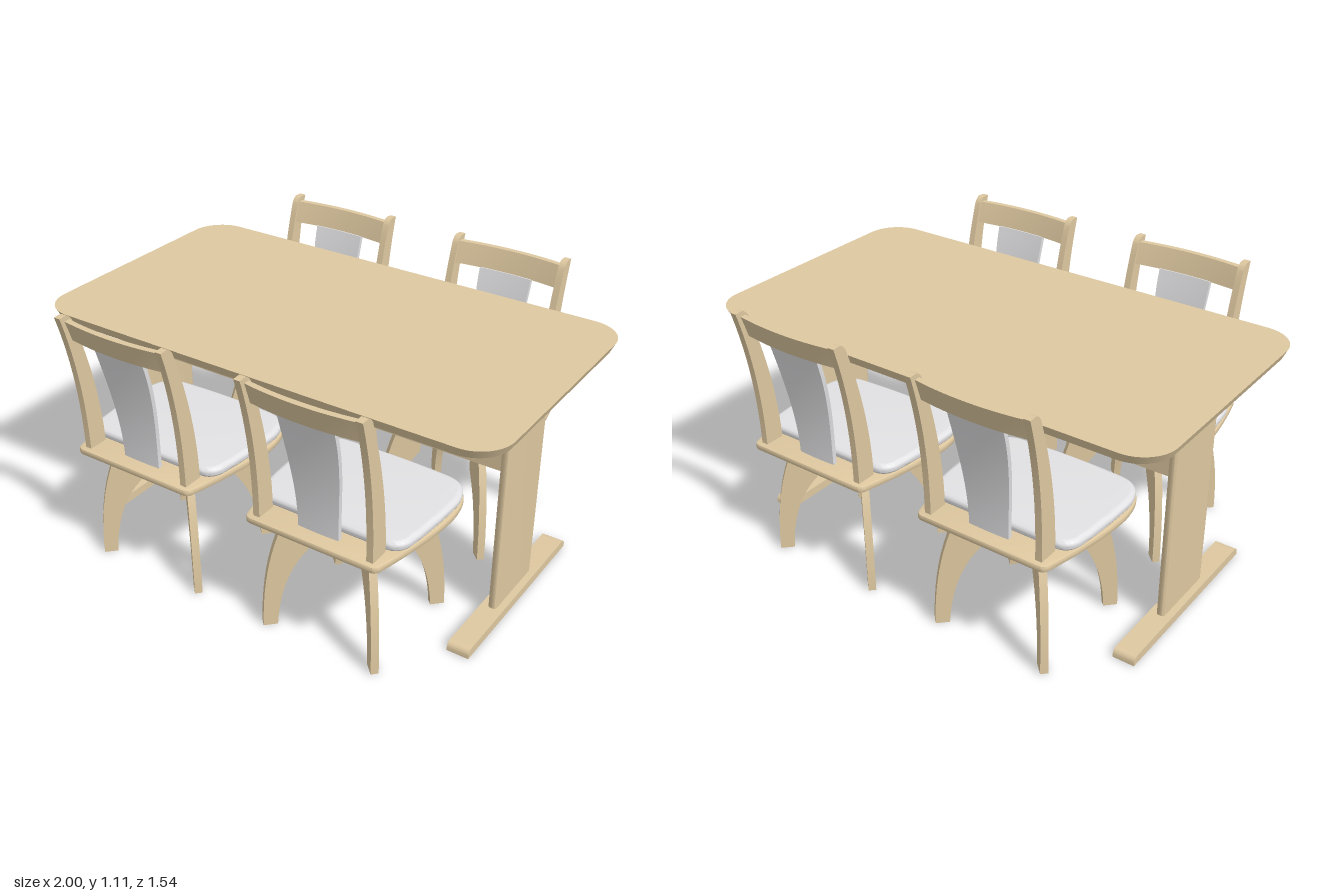
import * as THREE from 'three';
import { toCreasedNormals } from 'three/addons/utils/BufferGeometryUtils.js';

const wood = new THREE.MeshStandardMaterial({ color: 0xdec8a0 });
wood.name = 'light wood';
const fabric = new THREE.MeshStandardMaterial({ color: 0xe2e2e4 });
fabric.name = 'pale grey upholstery';

function add(parent, name, geometry, material = wood) {
  const mesh = new THREE.Mesh(geometry, material);
  mesh.name = name;
  parent.add(mesh);
  return mesh;
}

function box(parent, name, size, pos) {
  return add(parent, name, new THREE.BoxGeometry(...size).translate(...pos));
}

// Rectangle with rounded corners, centred on (cx, cy)
function roundedRect(w, h, r, cx = 0, cy = 0) {
  const s = new THREE.Shape();
  const x = w / 2 - r, y = h / 2 - r;
  s.absarc(cx + x, cy + y, r, 0, Math.PI / 2);
  s.absarc(cx - x, cy + y, r, Math.PI / 2, Math.PI);
  s.absarc(cx - x, cy - y, r, Math.PI, Math.PI * 1.5);
  s.absarc(cx + x, cy - y, r, Math.PI * 1.5, Math.PI * 2);
  s.closePath();
  return s;
}

// Horizontal slab from an (x, z) outline, between two heights
function slab(shape, y0, y1, bevel = 0, bevelSegments = 3) {
  const g = new THREE.ExtrudeGeometry(shape, {
    depth: y1 - y0 - 2 * bevel, curveSegments: 10,
    bevelEnabled: bevel > 0, bevelThickness: bevel, bevelSize: bevel,
    bevelOffset: -bevel, bevelSegments,
  });
  g.rotateX(Math.PI / 2).translate(0, y1 - bevel, 0);
  return toCreasedNormals(g, 0.7);
}

// Upright plate of given thickness, centred on its own plane
function plate(shape, t) {
  const g = new THREE.ExtrudeGeometry(shape, { depth: t, bevelEnabled: false, curveSegments: 10 });
  return toCreasedNormals(g.translate(0, 0, -t / 2), 0.6);
}

// Seat outline: wide rounded front, sides tapering to the back
function seatShape(half, backHalf, front, back, r) {
  const s = new THREE.Shape();
  const mid = front + (back - front) * 0.4;
  s.moveTo(-half + 0.11, front + 0.008);
  s.quadraticCurveTo(0, front - 0.008, half - 0.11, front + 0.008);
  s.quadraticCurveTo(half - 0.01, front + 0.015, half, mid - 0.06);
  s.quadraticCurveTo(half, mid + 0.1, backHalf + r * 0.25, back - r);
  s.quadraticCurveTo(backHalf, back, backHalf - r, back);
  s.lineTo(-backHalf + r, back);
  s.quadraticCurveTo(-backHalf, back, -backHalf - r * 0.25, back - r);
  s.quadraticCurveTo(-half, mid + 0.1, -half, mid - 0.06);
  s.quadraticCurveTo(-half + 0.01, front + 0.015, -half + 0.11, front + 0.008);
  return s;
}

// Backward sweep of the chair back with height
const sweep = (y) => Math.max(0, (y - 0.517) / 0.593);
const innerZ = (y) => 0.607 + 0.11 * sweep(y) ** 1.9;
const outerZ = (y) => 0.688 + 0.08 * sweep(y) ** 2.2;

// Panel that follows the sweep of the back and bows across its width
function backPanel(y0, y1, halfWidth, offset, thickness) {
  const g = new THREE.BoxGeometry(2, 1, 1, 12, 14, 1);
  const p = g.attributes.position;
  for (let i = 0; i < p.count; i++) {
    const y = y0 + (p.getY(i) + 0.5) * (y1 - y0);
    const x = p.getX(i) * halfWidth(y);
    const bow = 0.02 * (1 - (x / 0.23) ** 2);
    p.setXYZ(i, x, y, innerZ(y) + offset + bow + p.getZ(i) * thickness);
  }
  g.computeVertexNormals();
  return g;
}

function buildTable() {
  const table = new THREE.Group();
  table.name = 'table';
  const cz = -0.018;

  // Top with edges sloping inward underneath
  let top = slab(roundedRect(2, 1.1, 0.14), 0.93, 0.968);
  const p = top.attributes.position;
  for (let i = 0; i < p.count; i++) {
    if (p.getY(i) < 0.95) p.setXYZ(i, p.getX(i) * 0.984, p.getY(i), p.getZ(i) * 0.972);
  }
  top.translate(0, 0, cz - 0.004);
  top.computeVertexNormals();
  add(table, 'tableTop', toCreasedNormals(top, 0.7));

  // Foot side profile with rounded upper ends
  const foot = new THREE.Shape();
  foot.moveTo(-0.415, 0);
  foot.lineTo(0.415, 0);
  foot.lineTo(0.415, 0.012);
  foot.quadraticCurveTo(0.412, 0.036, 0.385, 0.036);
  foot.lineTo(-0.385, 0.036);
  foot.quadraticCurveTo(-0.412, 0.036, -0.415, 0.012);

  for (const side of [-1, 1]) {
    const x = side * 0.853;
    add(table, 'foot', plate(foot, 0.09).rotateY(-Math.PI / 2).translate(x, 0, cz));
    add(table, 'pedestalPanel', slab(roundedRect(0.034, 0.3, 0.012, x, cz), 0.036, 0.905));
    box(table, 'topBearer', [0.082, 0.027, 0.83], [x, 0.9175, cz]);
  }
  box(table, 'stretcher', [1.68, 0.16, 0.03], [0, 0.64, cz]);
  return table;
}

// Chair with its back toward +z
function buildChair() {
  const chair = new THREE.Group();
  chair.name = 'chair';
  const cz = 0.405;

  add(chair, 'seatBoard', slab(seatShape(0.34, 0.275, 0.1, 0.71, 0.025), 0.493, 0.519, 0.006, 2));
  add(chair, 'seatCushion', slab(seatShape(0.333, 0.3, 0.11, 0.606, 0.06), 0.517, 0.56, 0.021, 5), fabric);
  box(chair, 'swivelPlate', [0.47, 0.025, 0.41], [0, 0.481, cz]);

  // Crossed bars under the seat
  for (const a of [1, -1]) {
    const bar = box(chair, 'crossBar', [0.41, 0.083, 0.029], [0, 0, 0]);
    bar.position.set(0, 0.4285, cz);
    bar.rotation.y = a * Math.PI / 4;
  }

  // Curved legs splayed on the diagonals
  const leg = new THREE.Shape();
  leg.moveTo(0.298, 0);
  leg.lineTo(0.353, 0);
  leg.quadraticCurveTo(0.352, 0.27, 0.275, 0.452);
  leg.lineTo(0.205, 0.452);
  leg.lineTo(0.205, 0.39);
  leg.lineTo(0.178, 0.388);
  leg.lineTo(0.178, 0.335);
  leg.quadraticCurveTo(0.285, 0.225, 0.298, 0);
  const legGeometry = plate(leg, 0.03);
  for (let i = 0; i < 4; i++) {
    const mesh = add(chair, 'leg', legGeometry);
    mesh.position.z = cz;
    mesh.rotation.y = Math.PI / 4 + i * Math.PI / 2;
  }

  // Swept back posts
  const post = new THREE.Shape();
  const n = 12;
  post.moveTo(innerZ(0.515), 0.515);
  for (let i = 0; i <= n; i++) {
    const y = 0.517 + (0.573 * i) / n;
    post.lineTo(outerZ(y), y);
  }
  post.lineTo(0.768, 1.108);
  post.lineTo(0.738, 1.11);
  post.quadraticCurveTo(0.722, 1.108, innerZ(1.085), 1.085);
  for (let i = n - 1; i > 0; i--) {
    const y = 0.517 + (0.568 * i) / n;
    post.lineTo(innerZ(y), y);
  }
  const postGeometry = plate(post, 0.027).rotateY(-Math.PI / 2);
  for (const side of [-1, 1]) add(chair, 'backPost', postGeometry).position.x = side * 0.238;

  // Top rail and upholstered splat
  add(chair, 'topRail', backPanel(1.003, 1.09, () => 0.227, 0.022, 0.024));
  const splatWidth = (y) => 0.085 + 0.03 * THREE.MathUtils.smoothstep(y, 0.52, 1.0);
  add(chair, 'backSplat', backPanel(0.517, 1.005, splatWidth, 0.014, 0.018), fabric);
  return chair;
}

export function createModel() {
  const model = new THREE.Group();
  model.name = 'diningSet';
  model.add(buildTable());
  for (const x of [-0.407, 0.407]) {
    for (const turn of [0, Math.PI]) {
      const chair = buildChair();
      chair.position.x = x;
      chair.rotation.y = turn;
      model.add(chair);
    }
  }
  return model;
}
